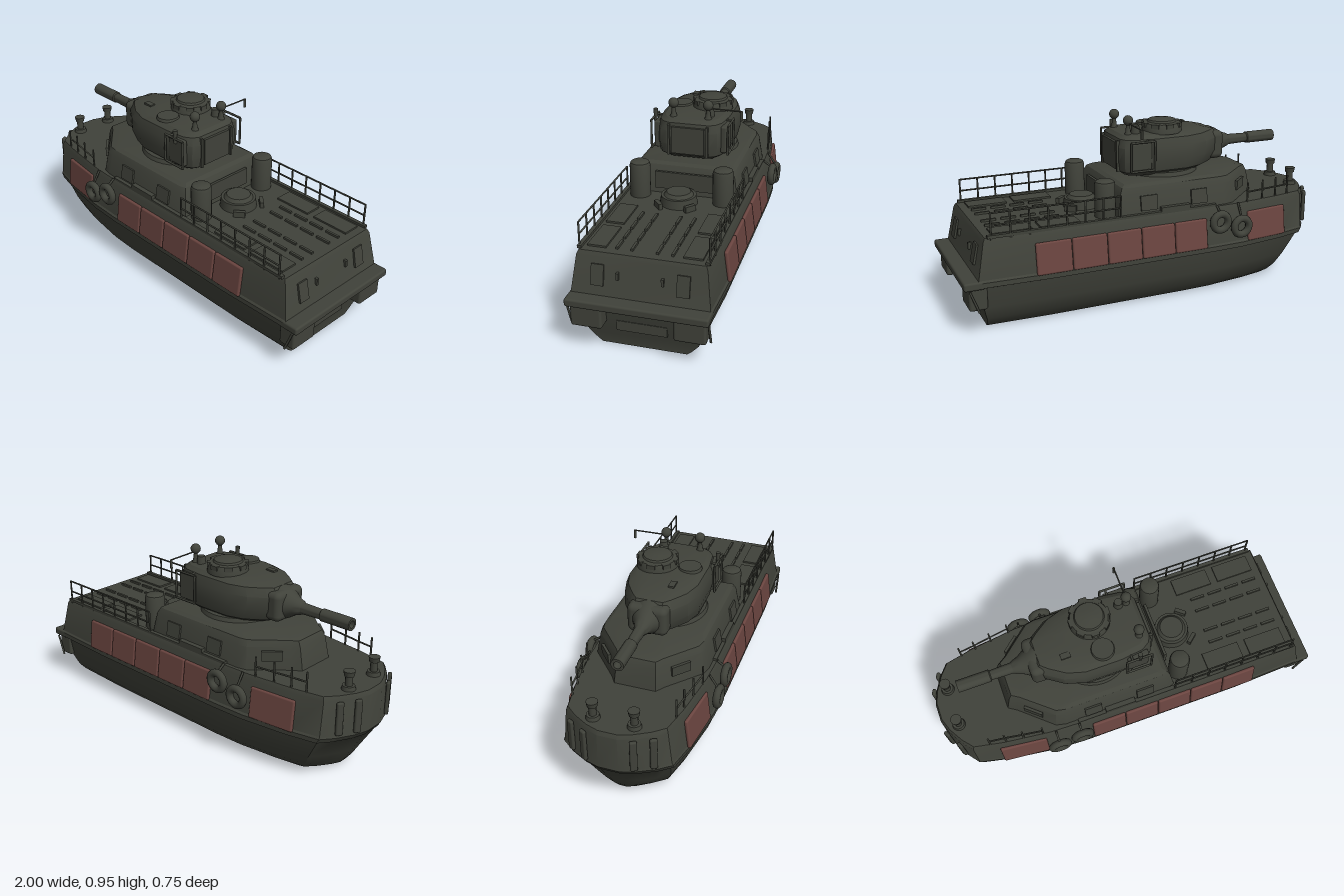
import * as THREE from 'three';
import { toCreasedNormals } from 'three/addons/utils/BufferGeometryUtils.js';
import { RoundedBoxGeometry } from 'three/addons/geometries/RoundedBoxGeometry.js';

const paint = new THREE.MeshStandardMaterial({ color: 0x40423a });
paint.name = 'olive paint';
const red = new THREE.MeshStandardMaterial({ color: 0x6b4540 });
red.name = 'faded red';

export function createModel() {
  const boat = new THREE.Group();
  boat.name = 'gunboat';

  function add(name, geo, x = 0, y = 0, z = 0, mat = paint, parent = boat) {
    const m = new THREE.Mesh(geo, mat);
    m.name = name;
    m.position.set(x, y, z);
    parent.add(m);
    return m;
  }
  const box = (name, w, h, d, x, y, z) => add(name, new THREE.BoxGeometry(w, h, d), x, y, z);
  const cyl = (name, r1, r2, h, x, y, z, n = 20) => add(name, new THREE.CylinderGeometry(r1, r2, h, n), x, y, z);
  function rod(name, a, b, r = 0.005) {
    const A = new THREE.Vector3(...a), B = new THREE.Vector3(...b);
    const m = add(name, new THREE.CylinderGeometry(r, r, A.distanceTo(B), 6));
    m.position.copy(A).add(B).multiplyScalar(0.5);
    m.quaternion.setFromUnitVectors(new THREE.Vector3(0, 1, 0), B.sub(A).normalize());
  }

  // Skin stacked, mirrored outlines: plan is [t, w] from bow to stern,
  // each level is [y, bowX, sternX, halfWidth, power of w]
  function stack(name, plan, levels) {
    const rings = levels.map(([y, x0, x1, hw, p = 1]) => {
      const half = plan.map(([t, w]) => [x0 + (x1 - x0) * t, y, hw * Math.pow(w, p)]);
      return half.concat(half.map(([x, yy, z]) => [x, yy, -z]).reverse());
    });
    const pos = [], n = rings[0].length;
    const tri = (...pts) => pts.forEach(p => pos.push(...p));
    for (let k = 0; k < rings.length - 1; k++) for (let i = 0; i < n; i++) {
      const j = (i + 1) % n, a = rings[k], b = rings[k + 1];
      tri(a[i], a[j], b[j]);
      tri(a[i], b[j], b[i]);
    }
    const bot = rings[0], top = rings[rings.length - 1];
    const mid = r => [(r[0][0] + r[n / 2][0]) / 2, r[0][1], 0];
    for (let i = 0; i < n; i++) {
      const j = (i + 1) % n;
      tri(mid(top), top[i], top[j]);
      tri(mid(bot), bot[j], bot[i]);
    }
    const g = new THREE.BufferGeometry();
    g.setAttribute('position', new THREE.Float32BufferAttribute(pos, 3));
    return add(name, toCreasedNormals(g, 0.5));
  }

  // Hull and bulwark
  const hullPlan = [[0, 0.15], [0.012, 0.36], [0.035, 0.6], [0.06, 0.78], [0.14, 0.88], [0.27, 0.98], [0.36, 1], [0.8, 1], [1, 0.96]];
  stack('hull', hullPlan, [
    [0, -0.8, 0.87, 0.215, 1.3], [0.02, -0.84, 0.872, 0.24, 1.3], [0.06, -0.87, 0.88, 0.275, 1.2], [0.13, -0.91, 0.9, 0.305, 1.1],
    [0.24, -0.975, 0.92, 0.325], [0.25, -0.985, 0.93, 0.348], [0.275, -1, 0.93, 0.348],
    [0.285, -0.998, 0.925, 0.34], [0.46, -0.995, 0.89, 0.317], [0.48, -0.985, 0.88, 0.308]
  ]);

  // Stern platform with boxes, ladder and doors
  add('sternPlatform', new RoundedBoxGeometry(0.1, 0.04, 0.67, 2, 0.01), 0.947, 0.263, 0);
  for (const s of [-1, 1]) {
    add('sternBox', new RoundedBoxGeometry(0.09, 0.12, 0.15, 2, 0.012), 0.928, 0.193, s * 0.243);
    const door = box('sternDoor', 0.012, 0.1, 0.06, 0.91, 0.38, s * 0.2);
    door.rotation.z = 0.22;
    box('sternBracket', 0.02, 0.035, 0.012, 0.908, 0.385, s * 0.105);
    rod('sternGuard', [0.93, 0.13, s * 0.33], [0.97, 0.24, s * 0.33], 0.006);
  }
  box('sternPlate', 0.015, 0.05, 0.24, 0.899, 0.125, 0);

  // Red side panels, following the slope and curve of the bulwark
  function sidePanel(x0, x1, z0, z1, s) {
    const g = new THREE.Group();
    g.name = 'redPanel';
    const len = Math.hypot(x1 - x0, z1 - z0);
    const m = add('panelFace', new RoundedBoxGeometry(len - 0.003, 0.158, 0.02, 2, 0.009), 0, 0, 0, red, g);
    m.rotation.x = -s * 0.125;
    g.position.set((x0 + x1) / 2, 0.352, s * (z0 + z1) / 2);
    g.rotation.y = -s * Math.atan2(z1 - z0, x1 - x0);
    boat.add(g);
  }
  for (const s of [-1, 1]) {
    sidePanel(-0.755, -0.51, 0.294, 0.32, s);
    for (let i = 0; i < 5; i++) sidePanel(-0.265 + i * 0.183, -0.082 + i * 0.183, 0.335, 0.335, s);
    // Tyre fenders with hanging straps
    for (const [x, y] of [[-0.455, 0.37], [-0.33, 0.41]]) {
      add('tyreFender', new THREE.TorusGeometry(0.043, 0.019, 10, 20), x, y, s * 0.357);
      rod('fenderStrap', [x, y + 0.04, s * 0.357], [x, 0.485, s * 0.31], 0.006);
    }
    // Bow bumpers
    for (const [x, z] of [[-0.985, 0.12], [-0.94, 0.2]]) {
      const b = add('bowBumper', new RoundedBoxGeometry(0.02, 0.17, 0.035, 2, 0.008), x, 0.375, s * z);
      b.rotation.y = s * 0.5;
    }
    // Bollards on the bow
    cyl('bollardBase', 0.03, 0.034, 0.02, -0.91, 0.49, s * 0.1);
    cyl('bollardPost', 0.018, 0.018, 0.06, -0.91, 0.52, s * 0.1, 12);
    cyl('bollardCap', 0.028, 0.024, 0.025, -0.91, 0.56, s * 0.1, 14);
    // Deck-edge lip
    box('deckLip', 1.2, 0.015, 0.02, 0.27, 0.485, s * 0.298);
  }

  // Railings
  function railing(points, top, levels) {
    for (let i = 0; i < points.length; i++) {
      const [x, z] = points[i];
      rod('railPost', [x, 0.47, z], [x, top, z]);
      if (i) for (const y of levels) rod('railBar', [points[i - 1][0], y, points[i - 1][1]], [x, y, z], 0.0045);
    }
  }
  for (const s of [-1, 1]) {
    railing(Array.from({ length: 8 }, (_, i) => [0.2 + i * 0.093, s * 0.303]), 0.602, [0.6, 0.54]);
    railing([[-0.79, s * 0.255], [-0.71, s * 0.265], [-0.62, s * 0.28], [-0.52, s * 0.295]], 0.58, [0.53]);
  }

  // Deckhouse
  stack('deckhouse', [[0, 0.36], [0.05, 0.46], [0.24, 0.96], [0.3, 1], [0.96, 1], [1, 0.96]], [
    [0.47, -0.65, 0.205, 0.29], [0.59, -0.625, 0.185, 0.27], [0.62, -0.61, 0.17, 0.255], [0.632, -0.55, 0.15, 0.235]
  ]);
  for (const s of [-1, 1]) {
    for (const x of [-0.24, 0.04]) {
      const w = box('houseHatch', 0.09, 0.075, 0.014, x, 0.54, s * 0.281);
      w.rotation.x = -s * 0.165;
    }
    const v = box('frontWindow', 0.1, 0.05, 0.014, -0.53, 0.55, s * 0.19);
    v.rotation.y = -s * 0.72;
    box('houseStep', 0.16, 0.035, 0.03, -0.1, 0.495, s * 0.293);
    // Aft ventilator towers
    const vent = [[0.052, 0], [0.052, 0.165], [0.047, 0.18], [0.035, 0.187], [0, 0.188]].map(p => new THREE.Vector2(...p));
    add('ventTower', toCreasedNormals(new THREE.LatheGeometry(vent, 24), 0.6), 0.25, 0.478, s * 0.215);
  }
  box('houseRearPanel', 0.014, 0.09, 0.3, 0.2, 0.55, 0);

  // Aft deck: round hatch, louvres and lids
  cyl('deckHatch', 0.088, 0.095, 0.05, 0.295, 0.5, 0.0, 28);
  cyl('deckHatchLid', 0.06, 0.075, 0.018, 0.295, 0.533, 0, 28);
  for (const s of [-1, 1]) {
    const bracket = box('hatchBracket', 0.06, 0.03, 0.02, 0.38, 0.495, s * 0.08);
    bracket.rotation.y = s * 0.7;
    for (let i = 0; i < 4; i++) {
      box('deckLouvre', 0.075, 0.014, 0.012, 0.5 + i * 0.1, 0.484, s * 0.06);
      box('deckLouvre', 0.075, 0.014, 0.012, 0.5 + i * 0.1, 0.484, s * 0.13);
    }
    box('deckLid', 0.2, 0.014, 0.09, 0.5, 0.482, s * 0.225);
    box('deckLid', 0.2, 0.014, 0.09, 0.74, 0.482, s * 0.225);
  }

  // Turret
  cyl('turretRing', 0.19, 0.2, 0.03, -0.15, 0.638, 0, 32);
  stack('turret', [[0, 0.38], [0.06, 0.55], [0.2, 0.85], [0.36, 1], [0.7, 1], [0.9, 0.92], [0.97, 0.78], [1, 0.6]], [
    [0.642, -0.37, 0.09, 0.15], [0.665, -0.42, 0.122, 0.178], [0.72, -0.455, 0.13, 0.19],
    [0.79, -0.46, 0.13, 0.188], [0.832, -0.43, 0.12, 0.175], [0.85, -0.36, 0.1, 0.15], [0.856, -0.25, 0.05, 0.1]
  ]);
  box('turretRearPanel', 0.014, 0.14, 0.17, 0.131, 0.745, 0);
  for (const s of [-1, 1]) {
    box('rearStrip', 0.02, 0.16, 0.012, 0.129, 0.745, s * 0.1);
    add('sideLocker', new RoundedBoxGeometry(0.11, 0.14, 0.03, 2, 0.008), 0.035, 0.75, s * 0.174);
    // Side grab frames
    for (const x of [-0.03, 0.1]) rod('grabPost', [x, 0.68, s * 0.2], [x, 0.828, s * 0.2], 0.006);
    for (const y of [0.68, 0.828]) {
      rod('grabBar', [-0.03, y, s * 0.2], [0.1, y, s * 0.2], 0.006);
      rod('grabArm', [0.0, y, s * 0.16], [0.0, y, s * 0.2], 0.006);
    }
    // Ball-topped masts
    const mast = [[0.024, 0], [0.014, 0.02], [0.01, 0.05], [0.012, 0.07]].map(p => new THREE.Vector2(...p));
    add('ballMast', new THREE.LatheGeometry(mast, 14), 0.07, 0.842, s * 0.09);
    add('mastBall', new THREE.SphereGeometry(0.026, 18, 12), 0.07, 0.921, s * 0.09);
  }
  rod('antennaArm', [0.07, 0.907, -0.09], [0.07, 0.904, -0.265], 0.004);
  rod('antennaDrop', [0.07, 0.905, -0.262], [0.07, 0.86, -0.262], 0.007);
  cyl('sidePost', 0.012, 0.009, 0.07, 0.04, 0.835, 0.195, 10);

  // Cupola and roof fittings
  const cupola = [[0.105, 0], [0.1, 0.035], [0.094, 0.048], [0.075, 0.052], [0.07, 0.062], [0.03, 0.068], [0, 0.069]];
  add('cupola', toCreasedNormals(new THREE.LatheGeometry(cupola.map(p => new THREE.Vector2(...p)), 28), 0.5), -0.13, 0.846, -0.065);
  for (let i = 0; i < 8; i++) {
    const a = i * Math.PI / 4;
    const b = box('cupolaBlock', 0.02, 0.022, 0.04, -0.13 + 0.094 * Math.cos(a), 0.885, -0.065 + 0.094 * Math.sin(a));
    b.rotation.y = -a;
  }
  cyl('roofHatch', 0.055, 0.06, 0.015, -0.12, 0.858, 0.1);
  cyl('periscope', 0.02, 0.025, 0.045, 0.03, 0.87, -0.09, 12);
  box('sight', 0.05, 0.02, 0.03, -0.3, 0.85, 0.07);

  // Gun, turned about its own axis and pointed at the bow
  const gun = [[0, 0], [0.085, 0], [0.088, 0.04], [0.07, 0.08], [0.045, 0.12], [0.035, 0.15], [0.028, 0.16], [0.025, 0.27],
    [0.031, 0.275], [0.031, 0.44], [0.018, 0.44], [0.018, 0.39], [0, 0.39]];
  const barrel = add('gun', toCreasedNormals(new THREE.LatheGeometry(gun.map(p => new THREE.Vector2(...p)), 24), 0.6), -0.4, 0.745, 0);
  barrel.rotation.z = Math.PI / 2;
  add('mantlet', new RoundedBoxGeometry(0.09, 0.15, 0.2, 3, 0.03), -0.44, 0.745, 0);

  return boat;
}
